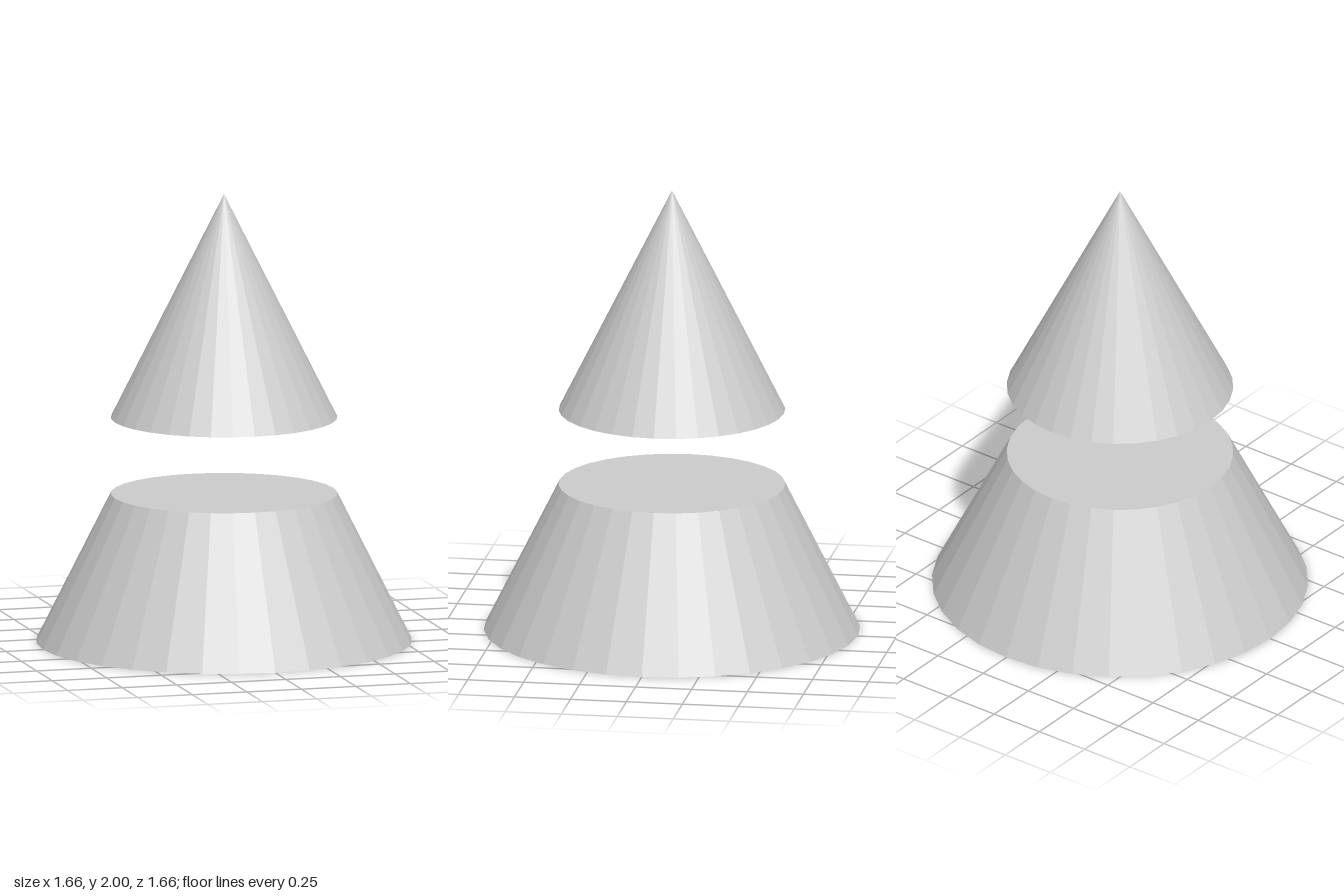
import * as THREE from 'three';

const SIDES = 32;

export function createModel() {
  const model = new THREE.Group();
  const material = new THREE.MeshStandardMaterial({ color: 0xcccccc, flatShading: true });

  // Closed round section standing on the given height
  function addSection(name, topRadius, bottomRadius, height, bottomY) {
    const geometry = new THREE.CylinderGeometry(topRadius, bottomRadius, height, SIDES);
    const mesh = new THREE.Mesh(geometry, material);
    mesh.name = name;
    mesh.position.y = bottomY + height / 2;
    model.add(mesh);
  }

  // Truncated base, with the pointed tip floating above it
  addSection('frustumBase', 0.5, 0.83, 0.66, 0);
  addSection('coneTip', 0, 0.5, 1, 1);

  return model;
}
